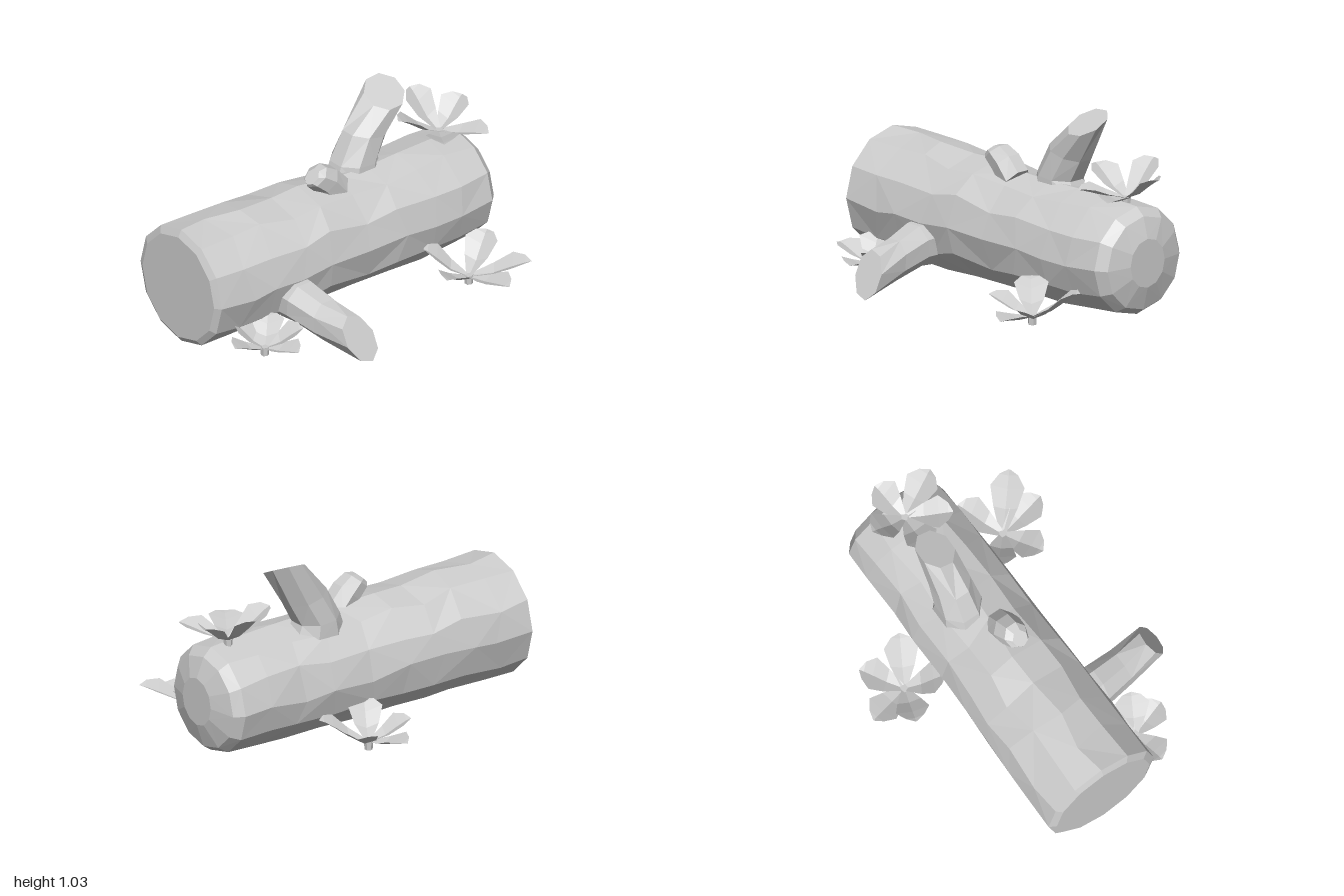
import * as THREE from 'three';

const V = (x, y, z) => new THREE.Vector3(x, y, z);

// small seeded noise for the carved, uneven bark
function makeRandom(seed) {
  return () => (seed = (seed * 16807) % 2147483647) / 2147483647;
}

// flat-shaded geometry from a list of triangles
function fromTriangles(tris) {
  const geo = new THREE.BufferGeometry().setFromPoints(tris.flat());
  geo.computeVertexNormals();
  return geo;
}

// skin over rings of points (counter-clockwise seen from the far end), capped at both ends
function loft(rings) {
  const tris = [];
  const n = rings[0].length;
  const centre = (r) => r.reduce((s, p) => s.add(p), V(0, 0, 0)).divideScalar(n);
  for (let k = 0; k + 1 < rings.length; k++) {
    const a = rings[k], b = rings[k + 1];
    for (let i = 0; i < n; i++) {
      const j = (i + 1) % n;
      if ((i + k) % 2) tris.push([a[i], a[j], b[j]], [a[i], b[j], b[i]]);
      else tris.push([a[i], a[j], b[i]], [a[j], b[j], b[i]]);
    }
  }
  const first = rings[0], last = rings[rings.length - 1];
  const c0 = centre(first), c1 = centre(last);
  for (let i = 0; i < n; i++) {
    const j = (i + 1) % n;
    tris.push([c0, first[j], first[i]], [c1, last[i], last[j]]);
  }
  return fromTriangles(tris);
}

// ellipse of n points around c with half axes u and v
function ring(c, u, v, n = 8) {
  return Array.from({ length: n }, (_, i) => {
    const a = ((i + 0.5) / n) * Math.PI * 2;
    return c.clone().addScaledVector(u, Math.cos(a)).addScaledVector(v, Math.sin(a));
  });
}

// trunk stations: x, bottom y, top y, back z, front z
function logGeometry() {
  const random = makeRandom(77);
  const stations = [
    [-1.0, 0.03, 0.635, -0.36, 0.245],
    [-0.98, 0.0, 0.675, -0.4, 0.285],
    [-0.78, 0.0, 0.67, -0.4, 0.285],
    [-0.58, 0.0, 0.67, -0.39, 0.285],
    [-0.38, 0.0, 0.65, -0.39, 0.285],
    [-0.18, 0.0, 0.655, -0.38, 0.28],
    [0.05, 0.0, 0.635, -0.37, 0.27],
    [0.28, 0.0, 0.63, -0.37, 0.27],
    [0.5, 0.0, 0.635, -0.365, 0.27],
    [0.7, 0.01, 0.635, -0.37, 0.265],
    [0.9, 0.025, 0.62, -0.37, 0.25],
    [0.95, 0.06, 0.575, -0.325, 0.2],
    [0.99, 0.19, 0.46, -0.18, 0.07],
  ];
  const n = 12;
  return loft(stations.map(([x, y0, y1, z0, z1], k) => {
    const rough = k > 1 && k < 10;
    return Array.from({ length: n }, (_, i) => {
      const a = (i / n) * Math.PI * 2 + (rough ? (random() - 0.5) * 0.16 : 0);
      const s = rough ? 1 + (random() - 0.5) * 0.03 : 1;
      const y = (y0 + y1) / 2 - Math.sin(a - Math.PI / 2) * s * (y1 - y0) / 2;
      const z = (z0 + z1) / 2 + Math.cos(a - Math.PI / 2) * s * (z1 - z0) / 2;
      const dx = rough ? (random() - 0.5) * 0.07 : 0;
      return V(x + dx, Math.max(0, y), z);
    }).reverse();
  }));
}

// creased, cupped petal from a base point to its tip
function petalGeometry(base, tip) {
  const dir = tip.clone().sub(base);
  const side = V(dir.z, 0, -dir.x).normalize();
  const rows = [[0, 0, 0.015], [0.4, 0.28, 0.065], [0.7, 0.68, 0.092], [0.9, 0.92, 0.05], [1, 1, 0.004]]
    .map(([t, rise, w]) => {
      const mid = V(base.x + dir.x * t, base.y + dir.y * rise, base.z + dir.z * t);
      const edge = (s) => mid.clone().addScaledVector(side, s * w).add(V(0, w * 0.4, 0));
      return [edge(-1), mid, edge(1)];
    });
  const tris = [];
  for (let k = 0; k + 1 < rows.length; k++) {
    for (let i = 0; i < 2; i++) {
      const a = rows[k], b = rows[k + 1];
      tris.push([a[i], a[i + 1], b[i + 1]], [a[i], b[i + 1], b[i]]);
    }
  }
  return fromTriangles(tris);
}

export function createModel() {
  const model = new THREE.Group();
  const grey = new THREE.MeshStandardMaterial({ color: 0xcccccc, side: THREE.DoubleSide });
  grey.name = 'pale grey';
  const add = (name, geo, parent = model) => {
    const mesh = new THREE.Mesh(geo, grey);
    mesh.name = name;
    parent.add(mesh);
    return mesh;
  };

  add('log', logGeometry());

  // tall leaning branch with a slanted cut
  add('tallBranch', loft([
    ring(V(0.25, 0.56, -0.12), V(0.17, 0, 0), V(0, 0, -0.13)),
    ring(V(0.25, 0.65, -0.12), V(0.135, -0.01, 0), V(0, 0, -0.125)),
    ring(V(0.325, 0.79, -0.12), V(0.125, -0.03, 0), V(0, 0, -0.11)),
    ring(V(0.46, 0.98, -0.12), V(0.115, 0.01, 0), V(0, 0.055, -0.108)),
  ]));

  // short twig stub
  add('twigStub', loft([
    ring(V(0.03, 0.59, 0), V(0.06, 0.07, 0), V(0, 0, -0.085), 7),
    ring(V(-0.04, 0.675, 0), V(0.06, 0.06, 0), V(0, 0, -0.085), 7),
    ring(V(-0.11, 0.725, 0.005), V(0.055, 0.05, 0), V(0, 0, -0.07), 7),
    ring(V(-0.14, 0.73, 0.01), V(0.035, 0.035, 0), V(0, 0, -0.045), 7),
  ]));

  // front branch resting on the ground
  add('frontBranch', loft([
    ring(V(-0.44, 0.2, 0.18), V(0.12, 0, 0), V(0, 0.13, 0)),
    ring(V(-0.435, 0.2, 0.3), V(0.12, 0, 0), V(0, 0.12, 0.01)),
    ring(V(-0.41, 0.16, 0.48), V(0.105, 0, 0), V(0, 0.115, -0.01)),
    ring(V(-0.37, 0.125, 0.7), V(0.1, -0.03, 0.015), V(0, 0.12, -0.06)),
  ]));

  // flowers: base point, then five petal tips
  const flowers = {
    topFlower: [[0.8, 0.64, -0.08], [[0.78, 0.82, -0.3], [0.54, 0.78, -0.1],
      [0.66, 0.7, 0.14], [0.93, 0.69, 0.18], [1.0, 0.77, -0.13]]],
    backFlower: [[0.19, 0.04, -0.51], [[0.12, 0.1, -0.76], [0.38, 0.16, -0.67],
      [-0.03, 0.15, -0.59], [0.08, 0.2, -0.32], [0.42, 0.18, -0.38]]],
    frontLeftFlower: [[0.6, 0.04, 0.42], [[0.85, 0.14, 0.64], [0.65, 0.08, 0.7],
      [0.37, 0.14, 0.52], [0.42, 0.2, 0.26], [0.83, 0.19, 0.29]]],
    frontRightFlower: [[-0.73, 0.04, 0.34], [[-0.67, 0.08, 0.55], [-0.55, 0.14, 0.44],
      [-0.61, 0.16, 0.22], [-0.82, 0.16, 0.2], [-0.95, 0.12, 0.36]]],
  };
  for (const [name, [base, tips]] of Object.entries(flowers)) {
    const flower = new THREE.Group();
    flower.name = name;
    model.add(flower);
    const heart = V(...base);
    tips.forEach((tip) => add('petal', petalGeometry(heart, V(...tip)), flower));
    const stem = add('stem', new THREE.CylinderGeometry(0.025, 0.022, 0.05, 6).toNonIndexed(), flower);
    stem.geometry.computeVertexNormals();
    stem.position.set(heart.x, heart.y - 0.015, heart.z);
  }
  return model;
}
